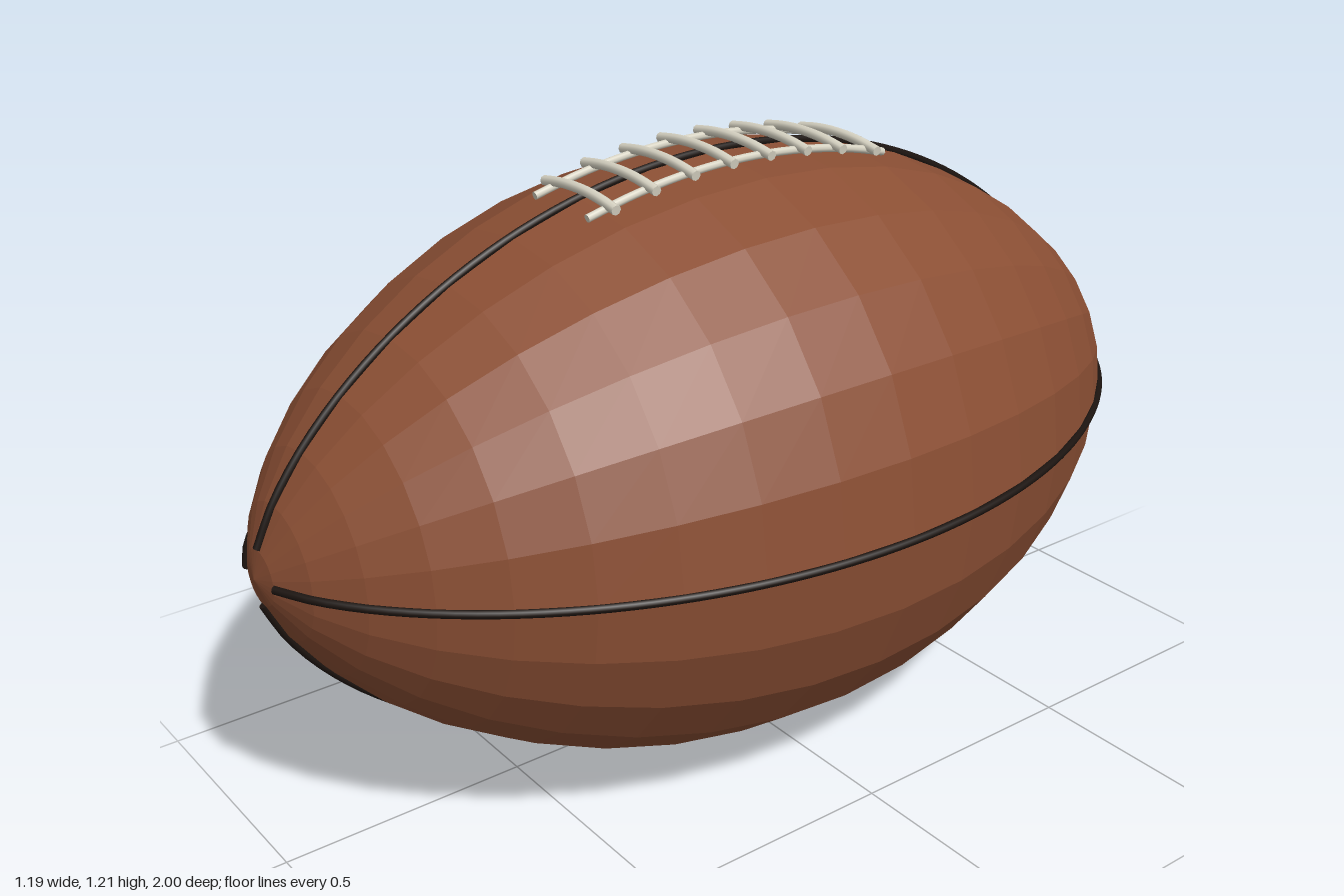
import * as THREE from 'three';

const CENTER_Y = 0.595, RADIUS = 0.585, RINGS = 20;

// Ball radius at a distance z along its long axis
const radiusAt = (z) => RADIUS * Math.pow(Math.max(0, 1 - z * z), 0.65);

// Height of a point lifted off the ball's upper surface
const topAt = (x, z, lift) => Math.sqrt(radiusAt(z) ** 2 - x * x) + lift;

// Round cord with closed ends through a list of points
function cord(name, points, radius, material, segments, sides = 8) {
  const group = new THREE.Group();
  group.name = name;
  const curve = new THREE.CatmullRomCurve3(points);
  group.add(new THREE.Mesh(new THREE.TubeGeometry(curve, segments, radius, sides), material));
  for (const t of [0, 1]) {
    const cap = new THREE.Mesh(new THREE.CircleGeometry(radius, sides), material);
    const end = curve.getPointAt(t);
    cap.position.copy(end);
    cap.lookAt(end.clone().addScaledVector(curve.getTangentAt(t), t ? 1 : -1));
    group.add(cap);
  }
  group.children.forEach((m) => { m.name = name; });
  return group;
}

export function createModel() {
  const leather = new THREE.MeshStandardMaterial({ color: 0x8b4f34, flatShading: true });
  const dark = new THREE.MeshStandardMaterial({ color: 0x1c1410 });
  const white = new THREE.MeshStandardMaterial({ color: 0xd8d4c4 });

  const model = new THREE.Group();
  model.name = 'ball';
  const parts = new THREE.Group();
  parts.name = 'ballParts';
  parts.position.y = CENTER_Y;
  model.add(parts);

  // Faceted leather body, pointed along z
  const profile = [];
  for (let i = 0; i <= RINGS; i++) {
    const z = Math.sin((i / RINGS - 0.5) * Math.PI);
    profile.push(new THREE.Vector2(radiusAt(z), z));
  }
  const body = new THREE.Mesh(new THREE.LatheGeometry(profile, 24).rotateX(Math.PI / 2), leather);
  body.name = 'leatherBody';
  parts.add(body);

  // Four panel seams, stopping short of the tips
  for (let s = 0; s < 4; s++) {
    const path = profile.slice(1, -1).map((p) => new THREE.Vector3(0, p.x + 0.002, p.y));
    const seam = cord('panelSeam', path, 0.008, dark, 64);
    seam.rotation.z = s * Math.PI / 2;
    parts.add(seam);
  }

  // Two long laces following the top of the ball
  for (const x of [-0.085, 0.085]) {
    const path = [];
    for (let i = -4; i <= 4; i++) {
      const z = i * 0.35 / 4;
      path.push(new THREE.Vector3(x, topAt(x, z, 0.009), z));
    }
    parts.add(cord('longLace', path, 0.008, white, 24));
  }

  // Eight cross laces arched over them
  for (let i = 0; i < 8; i++) {
    const z = (i - 3.5) * 0.088;
    const path = [-2, -1, 0, 1, 2].map((k) => {
      const x = k * 0.115 / 2;
      return new THREE.Vector3(x, topAt(x, z, 0.018), z);
    });
    parts.add(cord('crossLace', path, 0.01, white, 12));
  }
  return model;
}
